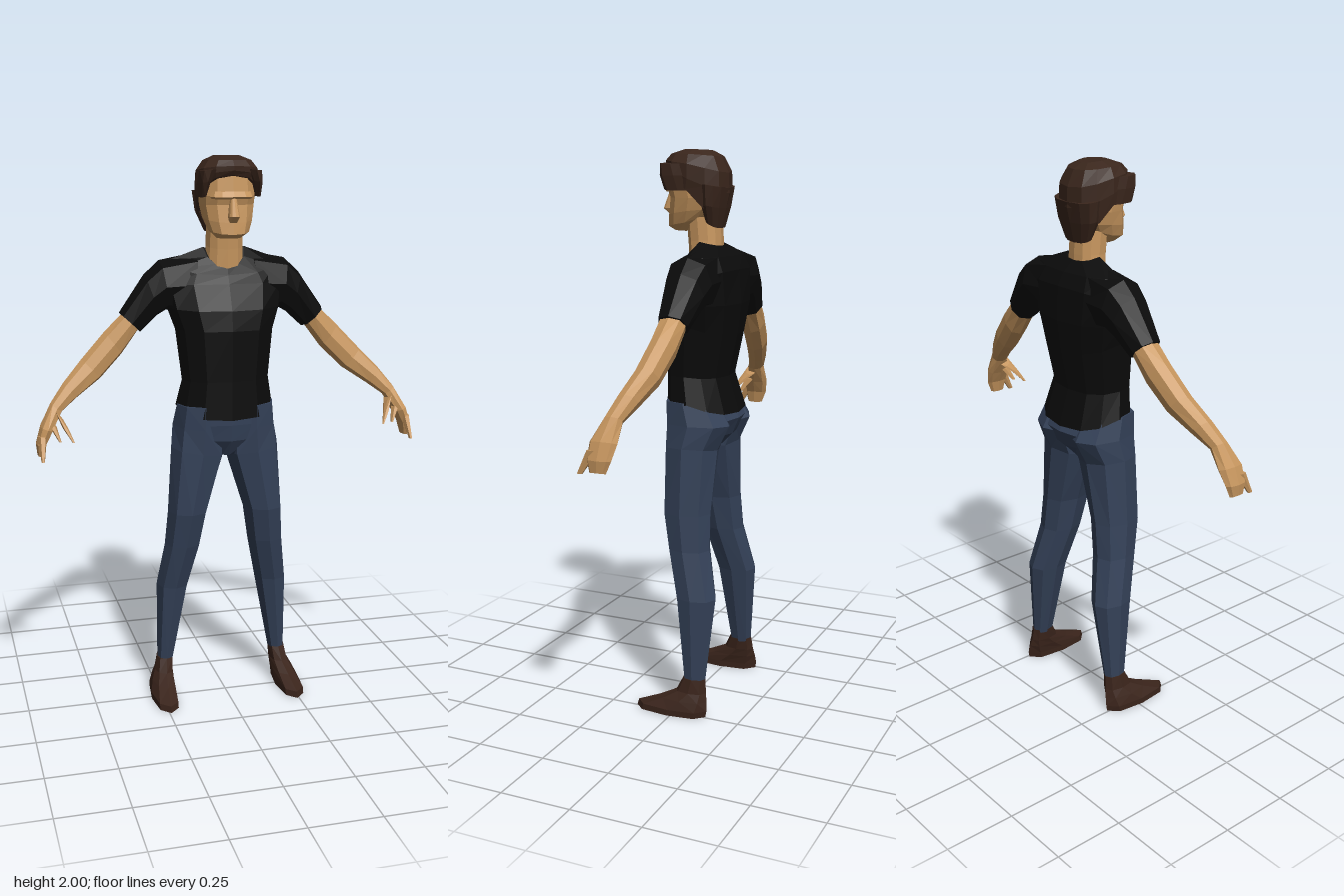
import * as THREE from 'three';

const paint = (color) => new THREE.MeshStandardMaterial({ color, flatShading: true });

// rounded-box version of sine / cosine
const soft = (v) => Math.sign(v) * Math.abs(v) ** 0.85;

// Ring centred on x = 0: [yFront, ySide, yBack, halfWidth, zFront, zBack]
function bodyRing([yf, ys, yb, rx, zf, zb], n = 12) {
  return Array.from({ length: n }, (_, i) => {
    const t = (i / n) * Math.PI * 2, c = Math.cos(t);
    const y = ys + ((c > 0 ? yf : yb) - ys) * Math.abs(c);
    return [rx * soft(Math.sin(t)), y, (zf + zb) / 2 + ((zf - zb) / 2) * soft(c)];
  });
}

// Ring between an outer and an inner edge: [xOut, yOut, xIn, yIn, zFront, zBack]
function limbRing([xo, yo, xi, yi, zf, zb], side, n = 8) {
  return Array.from({ length: n }, (_, i) => {
    const t = (i / n) * Math.PI * 2, c = soft(Math.cos(t)), s = soft(Math.sin(t));
    return [
      side * ((xo + xi) / 2 + ((xo - xi) / 2) * c),
      (yo + yi) / 2 + ((yo - yi) / 2) * c,
      (zf + zb) / 2 + ((zf - zb) / 2) * s,
    ];
  });
}

// Skin a stack of rings, cap both ends, and face everything outwards
function loft(rings) {
  const n = rings[0].length, pts = rings.flat(), index = [];
  for (let r = 0; r < rings.length - 1; r++) {
    for (let i = 0; i < n; i++) {
      const j = (i + 1) % n, a = r * n + i, b = r * n + j;
      index.push(a, b, b + n, a, b + n, a + n);
    }
  }
  [0, rings.length - 1].forEach((r) => {
    const mid = [0, 1, 2].map((k) => rings[r].reduce((sum, p) => sum + p[k], 0) / n);
    const m = pts.push(mid) - 1;
    for (let i = 0; i < n; i++) {
      const a = r * n + i, b = r * n + ((i + 1) % n);
      index.push(...(r === 0 ? [m, b, a] : [m, a, b]));
    }
  });
  const v = pts.map((p) => new THREE.Vector3(...p));
  let volume = 0;
  for (let i = 0; i < index.length; i += 3) {
    volume += v[index[i]].dot(v[index[i + 1]].clone().cross(v[index[i + 2]]));
  }
  if (volume < 0) index.reverse();
  const indexed = new THREE.BufferGeometry().setFromPoints(v);
  indexed.setIndex(index);
  const geometry = indexed.toNonIndexed();
  geometry.computeVertexNormals();
  return geometry;
}

export function createModel() {
  const model = new THREE.Group();
  model.name = 'standingMan';
  const skin = paint(0xc8975f), shirt = paint(0x0b0b0b), denim = paint(0x344158);
  const hair = paint(0x3a261c), leather = paint(0x3a241b);

  const add = (name, material, rings) => {
    const mesh = new THREE.Mesh(loft(rings), material);
    mesh.name = name;
    model.add(mesh);
  };
  const body = (name, material, rows) => add(name, material, rows.map((r) => bodyRing(r)));
  const pair = (name, material, rows, n = 8) => {
    add(name + 'Left', material, rows.map((r) => limbRing(r, 1, n)));
    add(name + 'Right', material, rows.map((r) => limbRing(r, -1, n)));
  };

  // Torso: pointed hem, waist, chest, shoulders, V collar
  body('shirt', shirt, [
    [1.08, 1.125, 1.08, 0.18, 0.106, -0.145],
    [1.22, 1.22, 1.21, 0.16, 0.105, -0.105],
    [1.40, 1.40, 1.36, 0.18, 0.11, -0.137],
    [1.47, 1.48, 1.47, 0.208, 0.1, -0.152],
    [1.56, 1.56, 1.59, 0.225, 0.06, -0.145],
    [1.59, 1.64, 1.635, 0.2, 0.045, -0.12],
    [1.62, 1.685, 1.67, 0.075, 0.035, -0.082],
  ]);
  pair('sleeve', shirt, [
    [0.10, 1.665, 0.12, 1.45, 0.04, -0.13],
    [0.23, 1.64, 0.205, 1.465, 0.035, -0.135],
    [0.285, 1.59, 0.24, 1.445, 0.025, -0.125],
    [0.375, 1.46, 0.30, 1.39, 0.008, -0.1],
  ]);

  // Arms and hands
  pair('arm', skin, [
    [0.36, 1.462, 0.305, 1.402, 0.002, -0.093],
    [0.43, 1.395, 0.37, 1.315, 0.005, -0.085],
    [0.515, 1.305, 0.45, 1.235, 0.02, -0.065],
    [0.585, 1.23, 0.54, 1.175, 0.045, -0.03],
    [0.635, 1.165, 0.595, 1.135, 0.065, 0.0],
  ]);
  pair('hand', skin, [
    [0.635, 1.165, 0.595, 1.135, 0.065, 0.0],
    [0.675, 1.09, 0.63, 1.075, 0.1, 0.0],
    [0.692, 1.03, 0.655, 1.03, 0.1, 0.012],
    [0.688, 0.99, 0.665, 0.985, 0.09, 0.03],
  ]);
  pair('thumb', skin, [
    [0.625, 1.145, 0.595, 1.11, 0.075, 0.03],
    [0.60, 1.085, 0.58, 1.08, 0.105, 0.075],
    [0.572, 1.04, 0.565, 1.04, 0.125, 0.115],
  ], 6);
  pair('innerFinger', skin, [
    [0.65, 1.1, 0.62, 1.09, 0.085, 0.045],
    [0.616, 1.04, 0.608, 1.04, 0.105, 0.09],
  ], 6);
  pair('foreFinger', skin, [
    [0.685, 1.06, 0.655, 1.06, 0.1, 0.06],
    [0.682, 0.98, 0.67, 0.98, 0.135, 0.115],
  ], 6);

  // Trousers
  body('trouserSeat', denim, [
    [0.94, 0.96, 0.94, 0.04, 0.05, -0.06],
    [1.0, 1.02, 1.0, 0.15, 0.085, -0.12],
    [1.06, 1.06, 1.06, 0.187, 0.094, -0.146],
    [1.13, 1.13, 1.13, 0.172, 0.096, -0.11],
  ]);
  pair('trouserLeg', denim, [
    [0.178, 1.13, 0.01, 1.13, 0.093, -0.1],
    [0.19, 1.05, 0.0, 1.04, 0.092, -0.148],
    [0.2, 0.97, 0.004, 0.94, 0.087, -0.105],
    [0.215, 0.73, 0.07, 0.73, 0.082, -0.096],
    [0.225, 0.6, 0.092, 0.6, 0.055, -0.1],
    [0.25, 0.43, 0.132, 0.43, 0.012, -0.138],
    [0.25, 0.12, 0.192, 0.12, -0.03, -0.11],
  ]);
  pair('shoe', leather, [
    [0.29, 0, 0.197, 0, 0.152, -0.122],
    [0.29, 0.022, 0.197, 0.022, 0.145, -0.126],
    [0.277, 0.055, 0.195, 0.055, 0.06, -0.123],
    [0.262, 0.085, 0.194, 0.085, -0.002, -0.118],
    [0.253, 0.135, 0.19, 0.135, -0.027, -0.112],
  ]);

  // Neck and face
  body('neck', skin, [
    [1.59, 1.64, 1.62, 0.07, 0.036, -0.078],
    [1.68, 1.69, 1.69, 0.066, 0.042, -0.075],
    [1.77, 1.77, 1.77, 0.066, 0.05, -0.07],
  ]);
  body('face', skin, [
    [1.722, 1.72, 1.76, 0.04, 0.1, -0.02],
    [1.735, 1.75, 1.78, 0.072, 0.12, -0.05],
    [1.775, 1.79, 1.8, 0.087, 0.116, -0.075],
    [1.835, 1.835, 1.835, 0.096, 0.108, -0.088],
    [1.865, 1.865, 1.865, 0.098, 0.118, -0.09],
    [1.95, 1.94, 1.92, 0.092, 0.108, -0.085],
  ]);
  body('nose', skin, [
    [1.775, 1.775, 1.775, 0.014, 0.12, 0.09],
    [1.797, 1.797, 1.797, 0.02, 0.147, 0.09],
    [1.86, 1.86, 1.86, 0.011, 0.123, 0.09],
  ]);
  body('brow', skin, [
    [1.855, 1.855, 1.855, 0.07, 0.122, 0.05],
    [1.862, 1.862, 1.862, 0.076, 0.128, 0.05],
    [1.88, 1.88, 1.88, 0.07, 0.118, 0.05],
  ]);

  // Hair: cap, nape and temple locks
  body('hairCap', hair, [
    [1.935, 1.865, 1.75, 0.106, 0.113, -0.08],
    [1.95, 1.90, 1.85, 0.11, 0.122, -0.104],
    [1.965, 1.95, 1.92, 0.107, 0.123, -0.102],
    [1.985, 1.983, 1.975, 0.085, 0.105, -0.075],
    [2.0, 2.0, 1.995, 0.045, 0.06, -0.04],
  ]);
  body('hairNape', hair, [
    [1.76, 1.745, 1.73, 0.066, -0.03, -0.076],
    [1.80, 1.81, 1.80, 0.096, -0.02, -0.092],
    [1.88, 1.88, 1.87, 0.106, -0.01, -0.105],
  ]);
  pair('templeLock', hair, [
    [0.108, 1.95, 0.05, 1.955, 0.124, 0.02],
    [0.11, 1.91, 0.072, 1.915, 0.12, 0.0],
    [0.106, 1.86, 0.086, 1.865, 0.1, -0.01],
  ]);
  return model;
}
